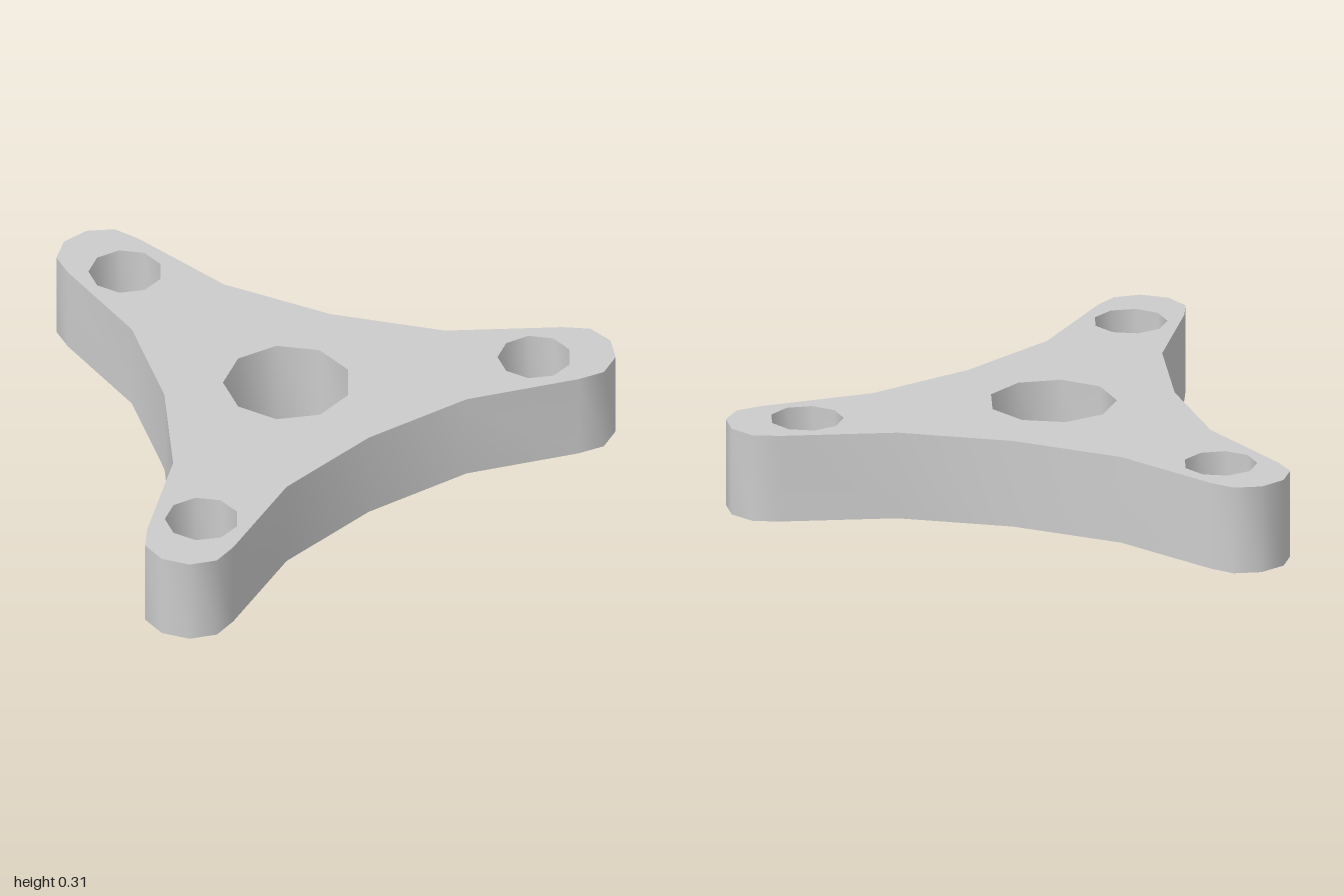
import * as THREE from 'three';
import { toCreasedNormals } from 'three/addons/utils/BufferGeometryUtils.js';

const HEIGHT = 0.31;
const CENTRE = -0.235; // hub centre in the plan (plan y = -z)
const THIRD = (Math.PI * 2) / 3;

// Right half of one arm, measured from the hub: root, flank, rounded tip
const HALF_ARM = [[0.206, 0.582], [0.156, 0.98], [0.13, 1.072], [0.05, 1.127]];
const VALLEY = 0.428; // hub radius midway between two arms
const ARM_HOLE = 0.857; // distance of the arm holes from the hub

// Nine-sided round hole with a corner towards -x
function hole(x, y, r) {
  const points = [];
  for (let k = 0; k < 9; k++) {
    const a = Math.PI - (k * Math.PI * 2) / 9;
    points.push(new THREE.Vector2(x + r * Math.cos(a), y + r * Math.sin(a)));
  }
  return new THREE.Path(points);
}

export function createModel() {
  const group = new THREE.Group();
  group.name = 'threeArmPlate';

  // One arm with the valley that follows it, counterclockwise
  const arm = [
    ...HALF_ARM,
    ...HALF_ARM.map(([x, y]) => [-x, y]).reverse(),
    [-VALLEY * Math.sin(Math.PI / 3), VALLEY * Math.cos(Math.PI / 3)],
  ];

  // Repeat the arm three times around the hub
  const origin = new THREE.Vector2();
  const centre = new THREE.Vector2(0, CENTRE);
  const outline = [];
  const holes = [hole(-0.002, CENTRE, 0.22)];
  for (let i = 0; i < 3; i++) {
    for (const [x, y] of arm) {
      outline.push(new THREE.Vector2(x, y).rotateAround(origin, i * THIRD).add(centre));
    }
    const c = new THREE.Vector2(0, ARM_HOLE).rotateAround(origin, i * THIRD).add(centre);
    holes.push(hole(c.x - 0.002, c.y, 0.127));
  }
  const shape = new THREE.Shape(outline);
  shape.holes.push(...holes);

  // Flat plate with smooth side walls and sharp rims
  let geometry = new THREE.ExtrudeGeometry(shape, { depth: HEIGHT, bevelEnabled: false });
  geometry.rotateX(-Math.PI / 2);
  geometry = toCreasedNormals(geometry, 0.9);

  const plate = new THREE.Mesh(geometry, new THREE.MeshStandardMaterial({ color: 0xcccccc }));
  plate.name = 'plate';
  group.add(plate);
  return group;
}
